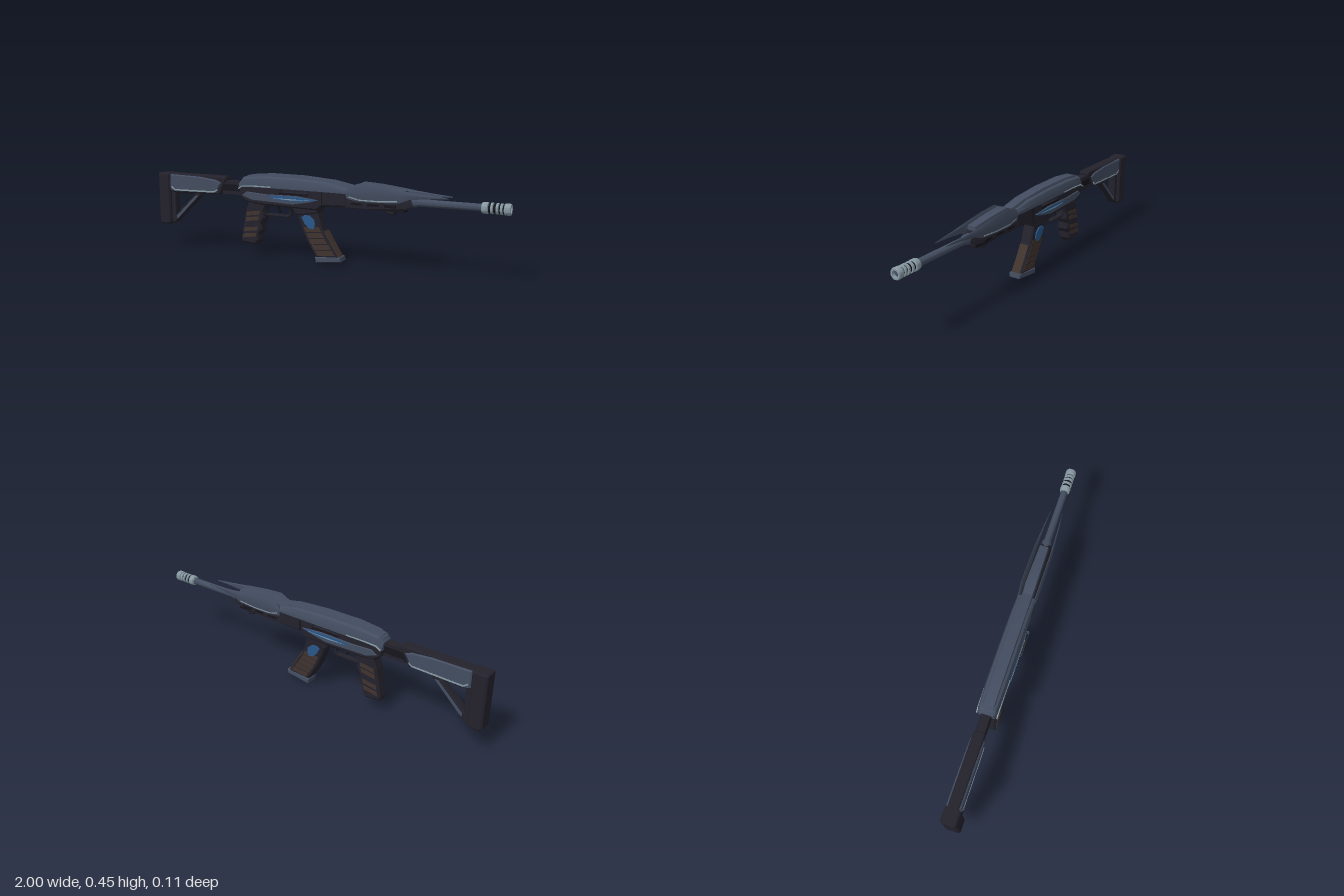
import * as THREE from 'three';
import { toCreasedNormals } from 'three/addons/utils/BufferGeometryUtils.js';

const colours = { charcoal: 0x23222c, black: 0x15151c, slate: 0x434d60, steel: 0x8698a2, brown: 0x40332e, blue: 0x28578a };
const mats = {};
for (const [name, color] of Object.entries(colours)) {
  mats[name] = new THREE.MeshStandardMaterial({ color });
  mats[name].name = name;
}

export function createModel() {
  const model = new THREE.Group();
  model.name = 'rifle';

  const add = (name, geo, mat) => {
    const mesh = new THREE.Mesh(geo, mats[mat]);
    mesh.name = name;
    model.add(mesh);
    return mesh;
  };
  const box = (name, mat, x0, x1, y0, y1, halfZ, z = 0) => {
    const m = add(name, new THREE.BoxGeometry(x1 - x0, y1 - y0, halfZ * 2), mat);
    m.position.set((x0 + x1) / 2, (y0 + y1) / 2, z);
    return m;
  };
  const toPoints = (pts) => pts.map(([x, y]) => new THREE.Vector2(x, y));

  // Side outline extruded across z, with chamfered rims and optional cut-outs
  const slab = (name, mat, pts, halfZ, { z = 0, bevel = 0.006, holes = [] } = {}) => {
    const shape = new THREE.Shape(toPoints(pts));
    for (const h of holes) shape.holes.push(new THREE.Path(toPoints(h)));
    const geo = new THREE.ExtrudeGeometry(shape, {
      depth: (halfZ - bevel) * 2, bevelEnabled: bevel > 0, bevelSize: bevel,
      bevelThickness: bevel, bevelOffset: -bevel, bevelSegments: 1,
    });
    geo.translate(0, 0, z - halfZ + bevel);
    return add(name, geo, mat);
  };
  // Thin flat detail on both sides
  const decal = (name, mat, pts, z) => {
    for (const s of [1, -1]) slab(name, mat, pts, 0.003, { z: s * z, bevel: 0 });
  };
  // Thin line following a side contour
  const trim = (name, pts, z, w = 0.004) =>
    decal(name, 'steel', [...pts.map(([x, y]) => [x, y - w]), ...pts.slice().reverse().map(([x, y]) => [x, y + w])], z);

  // Loft: profile [z, y] in unit space, stations [x, bottom, top, halfWidth, zCentre]
  const loft = (name, mat, profile, stations, side = 1) => {
    const pos = [], idx = [], n = profile.length;
    const tri = (a, b, c) => (side > 0 ? idx.push(a, b, c) : idx.push(a, c, b));
    for (const [x, y0, y1, w, zc = 0] of stations)
      for (const [u, v] of profile) pos.push(x, y0 + v * (y1 - y0), side * (zc + u * w));
    for (let k = 0; k < stations.length - 1; k++)
      for (let j = 0; j < n; j++) {
        const a = k * n + j, b = k * n + (j + 1) % n;
        tri(a, a + n, b);
        tri(b, a + n, b + n);
      }
    const last = (stations.length - 1) * n;
    for (let j = 1; j < n - 1; j++) {
      tri(0, j, j + 1);
      tri(last, last + j + 1, last + j);
    }
    const geo = new THREE.BufferGeometry();
    geo.setAttribute('position', new THREE.Float32BufferAttribute(pos, 3));
    geo.setIndex(idx);
    return add(name, toCreasedNormals(geo, 0.5), mat);
  };
  // Round part turned about the x axis: points [radius, x]
  const turned = (name, mat, pts, y = 0.355) => {
    const geo = new THREE.LatheGeometry(toPoints(pts), 20).rotateZ(-Math.PI / 2);
    const m = add(name, toCreasedNormals(geo, 0.6), mat);
    m.position.y = y;
    return m;
  };

  // Shoulder stock
  slab('buttPlate', 'charcoal', [[-1, 0.135], [-0.99, 0.125], [-0.935, 0.125], [-0.922, 0.14], [-0.922, 0.42], [-0.995, 0.42], [-1, 0.415]], 0.04, { bevel: 0.008 });
  slab('stockBody', 'charcoal', [[-0.93, 0.32], [-0.9, 0.312], [-0.59, 0.32], [-0.545, 0.405], [-0.55, 0.42], [-0.93, 0.42]], 0.029);
  slab('stockStrut', 'charcoal', [[-0.93, 0.13], [-0.905, 0.135], [-0.72, 0.305], [-0.72, 0.33], [-0.93, 0.33]], 0.022,
    { holes: [[[-0.895, 0.31], [-0.76, 0.31], [-0.895, 0.185]]] });
  const stockPanel = [[-0.922, 0.325], [-0.9, 0.318], [-0.61, 0.326], [-0.575, 0.385], [-0.61, 0.4], [-0.72, 0.412], [-0.922, 0.415]];
  for (const s of [1, -1]) slab('stockPanel', 'slate', stockPanel, 0.008, { z: s * 0.028 });
  trim('stockTrim', [[-0.91, 0.345], [-0.885, 0.328], [-0.62, 0.333], [-0.6, 0.345]], 0.035);
  decal('strutInlay', 'slate', [[-0.89, 0.158], [-0.875, 0.168], [-0.735, 0.302], [-0.755, 0.302], [-0.89, 0.177]], 0.021);
  box('bufferTube', 'charcoal', -0.57, -0.43, 0.325, 0.398, 0.022);
  box('bufferTubeRail', 'black', -0.57, -0.43, 0.345, 0.38, 0.026);

  // Receiver
  slab('lowerReceiver', 'charcoal',
    [[-0.45, 0.36], [-0.45, 0.325], [-0.41, 0.295], [-0.32, 0.285], [0.02, 0.28], [0.05, 0.305], [0.19, 0.31], [0.19, 0.39], [-0.43, 0.39]],
    0.046, { bevel: 0.008, holes: [[[-0.19, 0.363], [-0.04, 0.363], [-0.04, 0.375], [-0.19, 0.375]]] });
  const coverProfile = [[-1, 0], [1, 0], [1, 0.35], [0.82, 0.72], [0.5, 0.88], [-0.5, 0.88], [-0.82, 0.72], [-1, 0.35]];
  loft('receiverCover', 'slate', coverProfile, [
    [-0.455, 0.36, 0.405, 0.042], [-0.43, 0.376, 0.435, 0.05], [-0.3, 0.38, 0.45, 0.053],
    [-0.1, 0.38, 0.449, 0.053], [0.08, 0.38, 0.437, 0.052], [0.19, 0.378, 0.412, 0.048]]);
  const railProfile = [[-0.5, 0], [0.5, 0], [1, 0.6], [0.85, 1], [-0.85, 1], [-1, 0.6]];
  loft('topRail', 'slate', railProfile, [
    [-0.445, 0.39, 0.415, 0.026], [-0.4, 0.41, 0.439, 0.031], [-0.28, 0.41, 0.45, 0.033],
    [-0.08, 0.41, 0.449, 0.033], [0.1, 0.395, 0.436, 0.032], [0.21, 0.385, 0.415, 0.03]]);
  trim('coverTrim', [[-0.452, 0.365], [-0.425, 0.381], [-0.36, 0.385], [-0.25, 0.385]], 0.052, 0.003);
  for (const s of [1, -1])
    slab('receiverSidePanel', 'slate', [[-0.43, 0.33], [-0.37, 0.308], [-0.12, 0.3], [-0.02, 0.318], [0.03, 0.335], [-0.1, 0.348], [-0.28, 0.345], [-0.4, 0.352]], 0.005, { z: s * 0.046, bevel: 0.003 });
  decal('blueStripe', 'blue', [[-0.27, 0.334], [-0.2, 0.321], [-0.07, 0.319], [0.025, 0.334], [-0.08, 0.343], [-0.2, 0.343]], 0.05);
  decal('stripeLine', 'steel', [[-0.24, 0.329], [-0.15, 0.324], [-0.01, 0.33], [-0.14, 0.33]], 0.0515);
  for (const s of [1, -1]) {
    box('ejectionPortLip', 'black', -0.2, -0.03, 0.35, 0.36, 0.003, s * 0.046);
    box('receiverSeam', 'black', 0.045, 0.052, 0.315, 0.375, 0.002, s * 0.046);
  }

  // Handguard: wedge core, dark underside and two swept outer shells
  loft('handguardCore', 'charcoal', coverProfile, [[0.18, 0.31, 0.405, 0.043], [0.3, 0.31, 0.41, 0.043], [0.49, 0.325, 0.395, 0.038], [0.53, 0.335, 0.375, 0.026]]);
  loft('handguardRail', 'slate', railProfile, [
    [0.19, 0.385, 0.413, 0.027], [0.25, 0.385, 0.432, 0.031], [0.36, 0.38, 0.424, 0.029], [0.49, 0.375, 0.408, 0.025]]);
  const shellProfile = [[-0.6, 0], [0.3, 0], [1, 0.45], [0.7, 0.85], [0.2, 1], [-0.5, 0.8]];
  for (const s of [1, -1])
    loft('handguardShell', 'slate', shellProfile, [
      [0.185, 0.355, 0.408, 0.008, 0.043], [0.25, 0.345, 0.435, 0.009, 0.046], [0.35, 0.345, 0.429, 0.009, 0.046],
      [0.47, 0.352, 0.415, 0.008, 0.045], [0.52, 0.372, 0.408, 0.006, 0.043], [0.62, 0.382, 0.398, 0.004, 0.038], [0.71, 0.386, 0.391, 0.001, 0.032]], s);
  trim('handguardTrim', [[0.2, 0.366], [0.26, 0.353], [0.36, 0.353], [0.46, 0.36]], 0.0475, 0.003);
  box('underRail', 'black', 0.17, 0.49, 0.303, 0.325, 0.026);
  for (let i = 0; i < 3; i++)
    for (const s of [1, -1]) box('handguardVent', 'black', 0.21 + i * 0.09, 0.27 + i * 0.09, 0.325, 0.337, 0.003, s * 0.043);
  slab('frontLug', 'charcoal', [[0.36, 0.315], [0.4, 0.288], [0.43, 0.283], [0.445, 0.31], [0.5, 0.315], [0.5, 0.34], [0.36, 0.34]], 0.024);

  // Barrel and slotted muzzle brake
  turned('barrel', 'slate', [[0, 0.48], [0.025, 0.48], [0.025, 0.54], [0.019, 0.555], [0.018, 0.87], [0, 0.87]]);
  turned('muzzleCore', 'black', [[0, 0.865], [0.021, 0.865], [0.021, 0.985], [0, 0.985]]);
  turned('muzzleCollar', 'steel', [[0.018, 0.862], [0.026, 0.866], [0.028, 0.875], [0.028, 0.892], [0.02, 0.896]]);
  turned('muzzleCrown', 'steel', [[0.02, 0.968], [0.028, 0.972], [0.029, 0.993], [0.026, 1], [0.017, 1], [0.016, 0.984]]);
  turned('bore', 'slate', [[0.016, 0.986], [0, 0.986]]).geometry.scale(1, 1, 1);
  for (const x of [0.913, 0.938, 0.958])
    turned('muzzleRing', 'steel', [[0.02, x - 0.008], [0.027, x - 0.006], [0.027, x + 0.004], [0.02, x + 0.006]]);

  // Pistol grip with finger swells and ribbed side panels
  const slit = (y) => [[-0.415, y - 0.003], [-0.355, y + 0.008], [-0.355, y + 0.012], [-0.415, y + 0.001]];
  slab('grip', 'charcoal', [
    [-0.4, 0.295], [-0.42, 0.24], [-0.45, 0.09], [-0.445, 0.068], [-0.36, 0.06], [-0.34, 0.085], [-0.338, 0.12],
    [-0.318, 0.145], [-0.322, 0.18], [-0.302, 0.21], [-0.305, 0.245], [-0.285, 0.295]], 0.034, { bevel: 0.009, holes: [slit(0.175)] });
  for (const y of [0.095, 0.13, 0.187, 0.218]) {
    const x = -0.437 + (y - 0.09) * 0.2;
    decal('gripRib', 'brown', [[x, y], [x + 0.082, y + 0.012], [x + 0.086, y + 0.032], [x + 0.004, y + 0.022]], 0.034);
  }

  // Trigger and guard
  slab('triggerGuard', 'charcoal', [[-0.31, 0.29], [-0.31, 0.224], [-0.165, 0.224], [-0.15, 0.236], [-0.145, 0.29]], 0.014,
    { bevel: 0.002, holes: [[[-0.298, 0.28], [-0.298, 0.234], [-0.168, 0.234], [-0.162, 0.242], [-0.158, 0.28]]] });
  slab('trigger', 'black', [[-0.245, 0.285], [-0.238, 0.262], [-0.222, 0.243], [-0.217, 0.245], [-0.227, 0.268], [-0.225, 0.285]], 0.008, { bevel: 0.001 });
  box('magazineCatch', 'black', -0.155, -0.1, 0.262, 0.29, 0.018);

  // Curved magazine
  slab('magazineWell', 'charcoal', [[-0.13, 0.295], [-0.115, 0.25], [-0.09, 0.245], [0.015, 0.262], [0.035, 0.295]], 0.037);
  slab('magazineBody', 'charcoal', [
    [-0.11, 0.275], [-0.085, 0.2], [-0.05, 0.12], [0.008, 0.028], [0.138, 0.036], [0.085, 0.11], [0.045, 0.18], [0.015, 0.27]], 0.032, { bevel: 0.007 });
  slab('magazineFront', 'brown', [[0.052, 0.17], [0.09, 0.108], [0.134, 0.042], [0.139, 0.042], [0.094, 0.112], [0.058, 0.172]], 0.025, { bevel: 0 });
  const magazineBands = [[0.172, -0.062, 0.036], [0.142, -0.048, 0.052], [0.112, -0.033, 0.07], [0.082, -0.014, 0.091], [0.052, 0.006, 0.113]];
  for (const [y, x0, x1] of magazineBands)
    decal('magazineBand', 'brown', [[x0 + 0.012, y - 0.012], [x1 + 0.004, y - 0.004], [x1 - 0.011, y + 0.021], [x0, y + 0.013]], 0.0315);
  decal('magazineInset', 'blue', [[-0.072, 0.238], [-0.055, 0.205], [-0.03, 0.183], [-0.005, 0.178], [0.006, 0.2], [0.002, 0.225], [-0.025, 0.248], [-0.055, 0.25]], 0.036);
  slab('magazineBase', 'slate', [[0.008, 0], [0.15, 0.018], [0.148, 0.042], [0.125, 0.042], [0.002, 0.03]], 0.034, { bevel: 0.004 });

  return model;
}
